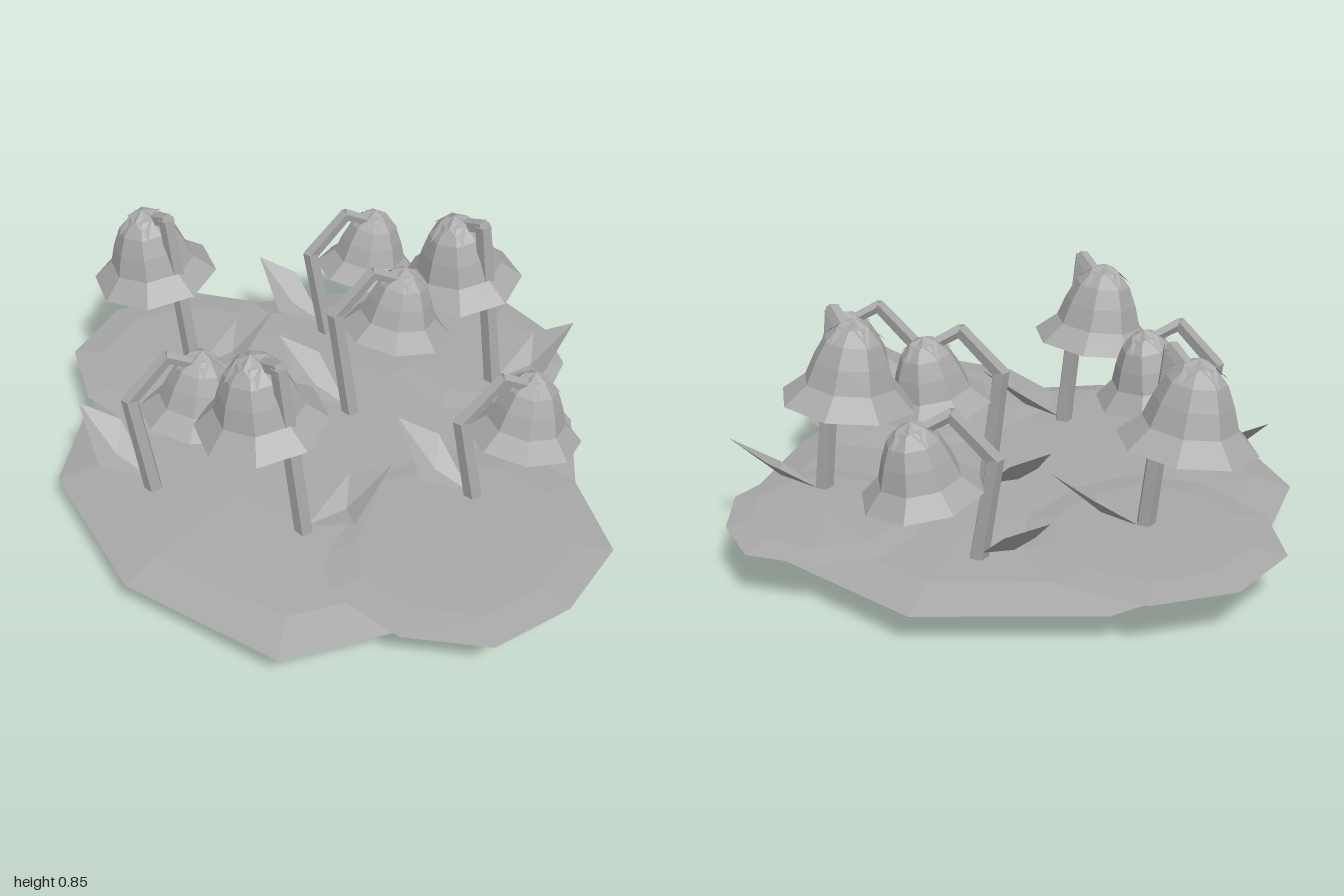
import * as THREE from 'three';

const grey = new THREE.MeshStandardMaterial({ color: 0xa8a8a8, flatShading: true, side: THREE.DoubleSide });
grey.name = 'stone grey';

const add = (parent, geometry, name) => {
  const mesh = new THREE.Mesh(geometry, grey);
  mesh.name = name;
  parent.add(mesh);
  return mesh;
};

const faceted = (positions, index) => {
  let g = new THREE.BufferGeometry();
  g.setAttribute('position', new THREE.Float32BufferAttribute(positions, 3));
  g.setIndex(index);
  g = g.toNonIndexed();
  g.computeVertexNormals();
  return g;
};

// Flat rock: an outline of [x, z] points scaled into rings [scale, y], listed bottom to top
function slab(outline, rings, slope = 0) {
  const n = outline.length, pos = [], idx = [];
  const cx = outline.reduce((s, p) => s + p[0], 0) / n;
  const cz = outline.reduce((s, p) => s + p[1], 0) / n;
  rings.forEach(([s, y]) => outline.forEach(([x, z]) => {
    const dx = (x - cx) * s;
    pos.push(cx + dx, y + slope * dx, cz + (z - cz) * s);
  }));
  for (let r = 0; r < rings.length - 1; r++) {
    for (let i = 0; i < n; i++) {
      const a = r * n + i, b = r * n + (i + 1) % n, c = a + n, d = b + n;
      idx.push(a, c, b, b, c, d);
    }
  }
  return faceted(pos, idx);
}

// Straight stem piece between two points
function rod(parent, a, b, r0, r1) {
  const dir = b.clone().sub(a);
  const mesh = add(parent, new THREE.CylinderGeometry(r1, r0, dir.length() + 0.015, 5), 'stemPiece');
  mesh.position.copy(a).add(b).multiplyScalar(0.5);
  mesh.quaternion.setFromUnitVectors(new THREE.Vector3(0, 1, 0), dir.normalize());
}

// Folded diamond leaf growing from the stem foot; side mirrors it in x
function leaf(side) {
  const p = [
    [0.16, 0.18, 0.08], [0.28, 0.31, -0.05], [0.28, 0.23, 0.04], [0.32, 0.24, 0.12], [0.42, 0.375, -0.04],
  ];
  return faceted(p.flatMap(([x, y, z]) => [x * side, y, z]), [0, 2, 1, 0, 3, 2, 1, 2, 4, 2, 3, 4]);
}

// Jagged star cap on top of the bell
function calyx() {
  const pos = [0, 0.275, 0], idx = [];
  for (let i = 0; i < 10; i++) {
    const a = (i / 10) * Math.PI * 2, out = i % 2 === 0;
    const r = out ? 0.105 : 0.05;
    pos.push(r * Math.cos(a), out ? 0.205 : 0.255, r * Math.sin(a));
    idx.push(0, 1 + (i + 1) % 10, 1 + i);
  }
  return faceted(pos, idx);
}

// Eight-sided bell with a flared rim, cap and clapper; y = 0 is the rim
function bell() {
  const g = new THREE.Group();
  g.name = 'bell';
  const profile = [[0.222, 0], [0.15, 0.065], [0.125, 0.14], [0.095, 0.205], [0.05, 0.25], [0, 0.262]];
  const shell = add(g, new THREE.LatheGeometry(profile.map(p => new THREE.Vector2(...p)), 8), 'bellShell');
  shell.rotation.y = 0.1;
  add(g, calyx(), 'calyx');
  add(g, new THREE.CylinderGeometry(0.02, 0.03, 0.22, 5), 'clapperStalk').position.y = 0.12;
  const clapper = add(g, new THREE.IcosahedronGeometry(0.048, 0), 'clapper');
  clapper.position.y = -0.02;
  clapper.scale.y = 1.1;
  return g;
}

// One drooping flower centred on its bell
function flower(x, z, tall, dy) {
  const g = new THREE.Group();
  g.name = tall ? 'tallFlower' : 'shortFlower';
  g.position.set(x, 0, z);
  const path = tall
    ? [[0.15, 0.15, 0.09], [0.075, 0.805 + dy, 0.07], [0, 0.765 + dy, 0]]
    : [[-0.14, 0.15, 0.1], [-0.2, 0.515 + dy, 0.09], [-0.08, 0.665 + dy, 0.04], [0, 0.62 + dy, 0]];
  const pts = path.map(p => new THREE.Vector3(...p));
  for (let i = 0; i < pts.length - 1; i++) rod(g, pts[i], pts[i + 1], 0.032 - 0.005 * i, 0.029 - 0.005 * i);

  const b = bell();
  b.position.y = (tall ? 0.535 : 0.415) + dy;
  b.rotation.set(tall ? 0.05 : -0.12, 0, tall ? 0.1 : -0.1);
  b.scale.setScalar(tall ? 1 : 0.88);
  g.add(b);
  add(g, leaf(tall ? 1 : -1), 'leaf');
  return g;
}

export function createModel() {
  const model = new THREE.Group();
  model.name = 'bellFlowerPatch';

  // Main flat rock
  const base = [
    [0.88, 0.1], [0.8, 0.45], [0.5, 0.75], [0, 1], [-0.54, 0.75], [-0.89, 0.28],
    [-0.89, -0.1], [-0.8, -0.5], [-0.56, -0.8], [0, -1], [0.55, -0.78], [0.85, -0.3],
  ];
  add(model, slab(base, [[0, 0.03], [0.5, 0.037], [0.86, 0.058], [1, 0.11], [0.85, 0.148], [0.45, 0.17], [0, 0.178]]), 'baseRock');

  // Overlapping thin slabs on top
  const slabs = [
    ['backRightSlab', 0, [[-0.15, -0.36], [-0.22, -0.1], [-0.4, 0.08], [-0.62, 0.07], [-0.88, -0.1],
      [-1, -0.36], [-0.91, -0.64], [-0.68, -0.81], [-0.4, -0.78], [-0.22, -0.6]]],
    ['frontLeftSlab', 0.03, [[1, 0.44], [0.87, 0.72], [0.65, 0.91], [0.36, 0.9], [0.12, 0.73],
      [0.07, 0.55], [0.12, 0.14], [0.33, 0.02], [0.65, -0.04], [0.87, 0.12]]],
    ['backLeftSlab', 0.01, [[0.81, -0.55], [0.75, -0.32], [0.6, -0.23], [0.38, -0.23], [0.18, -0.4],
      [0.14, -0.6], [0.18, -0.78], [0.36, -0.9], [0.58, -0.91], [0.73, -0.76]]],
  ];
  for (const [name, slope, outline] of slabs) {
    add(model, slab(outline, [[0, 0.15], [0.75, 0.153], [1, 0.171], [0.75, 0.186], [0, 0.192]], slope), name);
  }

  // Five pebble feet
  for (let i = 0; i < 5; i++) {
    const a = THREE.MathUtils.degToRad(-15 + 72 * i);
    const foot = add(model, new THREE.IcosahedronGeometry(0.075, 0), 'pebbleFoot');
    foot.position.set(0.75 * Math.cos(a), 0.04, 0.75 * Math.sin(a));
    foot.rotation.y = -a;
    foot.scale.y = 0.62;
  }

  // Flowers: x, z, tall or short, height offset
  const flowers = [
    [0.05, -0.75, false, -0.02], [0.21, -0.26, false, 0.065], [0.68, 0.14, false, -0.03], [-0.4, 0.22, false, 0],
    [0.41, -0.49, true, 0.015], [-0.15, 0.38, true, 0], [-0.68, -0.41, true, -0.01],
  ];
  flowers.forEach(f => model.add(flower(...f)));
  return model;
}
